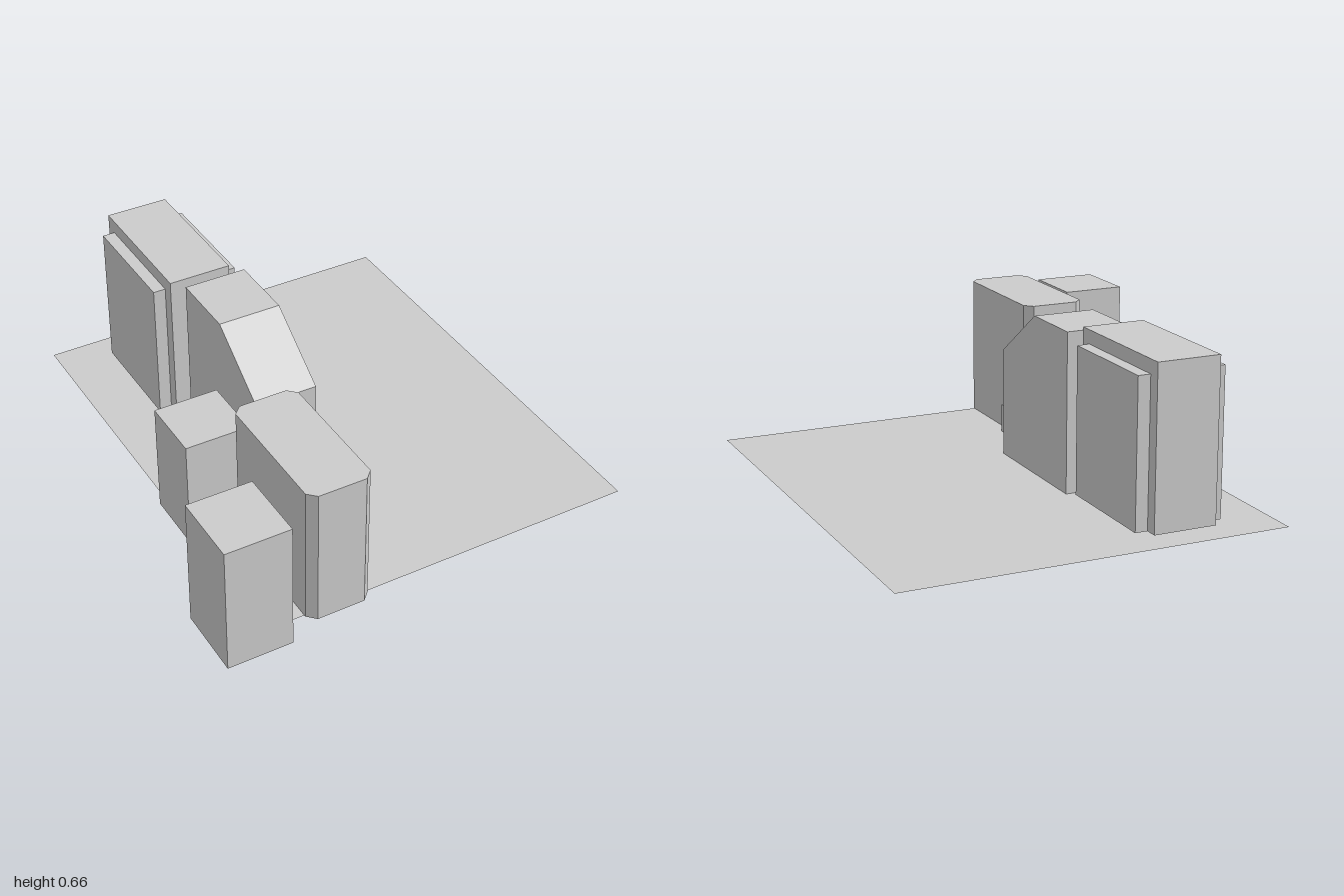
import * as THREE from 'three';

const material = new THREE.MeshStandardMaterial({ color: 0xcccccc, flatShading: true, side: THREE.DoubleSide });

// Removes the downward faces, leaving a hollow shell that is open below.
function openBelow(geometry) {
  const source = geometry.index ? geometry.toNonIndexed() : geometry;
  const p = source.attributes.position.array, n = source.attributes.normal.array;
  const kept = [];
  for (let i = 0; i < p.length; i += 9) {
    if (n[i + 1] > -0.9) kept.push(...p.slice(i, i + 9));
  }
  const shell = new THREE.BufferGeometry();
  shell.setAttribute('position', new THREE.Float32BufferAttribute(kept, 3));
  shell.computeVertexNormals();
  return shell;
}

function block(x0, x1, y0, y1, z0, z1) {
  const g = new THREE.BoxGeometry(x1 - x0, y1 - y0, z1 - z0);
  return openBelow(g.translate((x0 + x1) / 2, (y0 + y1) / 2, (z0 + z1) / 2));
}

function extrude(points, depth) {
  const shape = new THREE.Shape(points.map(([a, b]) => new THREE.Vector2(a, b)));
  return new THREE.ExtrudeGeometry(shape, { depth, bevelEnabled: false });
}

// Block with its four upright corners cut off.
function chamferedBlock(x0, x1, h, z0, z1, c) {
  const outline = [
    [x0 + c, -z1], [x1 - c, -z1], [x1, -z1 + c], [x1, -z0 - c],
    [x1 - c, -z0], [x0 + c, -z0], [x0, -z0 - c], [x0, -z1 + c],
  ];
  return openBelow(extrude(outline, h).rotateX(-Math.PI / 2));
}

// Side outline given as [z, y], swept from x0 to x1.
function sideProfile(points, x0, x1) {
  const outline = points.map(([z, y]) => [-z, y]);
  return openBelow(extrude(outline, x1 - x0).rotateY(Math.PI / 2).translate(x0, 0, 0));
}

export function createModel() {
  const model = new THREE.Group();
  model.name = 'buildingSite';
  const add = (name, geometry) => {
    const mesh = new THREE.Mesh(geometry, material);
    mesh.name = name;
    model.add(mesh);
  };

  // Flat plot
  add('ground', new THREE.PlaneGeometry(1.545, 1.9).rotateX(-Math.PI / 2).translate(0.105, 0, -0.05));

  // Tall rear building: long core with a wider, lower body through it
  add('rearBuildingCore', block(-0.405, -0.15, 0.02, 0.66, -0.92, -0.35));
  add('rearBuildingWings', block(-0.455, -0.1, 0.02, 0.605, -0.87, -0.4));

  // Middle building with a roof sloping to the front
  add('slopedBuilding', sideProfile(
    [[0.245, 0], [0.245, 0.44], [-0.04, 0.64], [-0.325, 0.64], [-0.325, 0]], -0.352, -0.097));

  // Front building with cut corners and a small porch
  add('chamferedBuilding', chamferedBlock(-0.517, -0.258, 0.573, 0.365, 0.94, 0.033));
  add('porch', block(-0.258, -0.222, 0, 0.117, 0.425, 0.537));

  // Small neighbouring blocks
  add('sideBlock', block(-0.698, -0.44, 0, 0.452, 0.093, 0.352));
  add('cornerBlock', block(-0.878, -0.618, 0, 0.53, 0.712, 1));

  return model;
}
